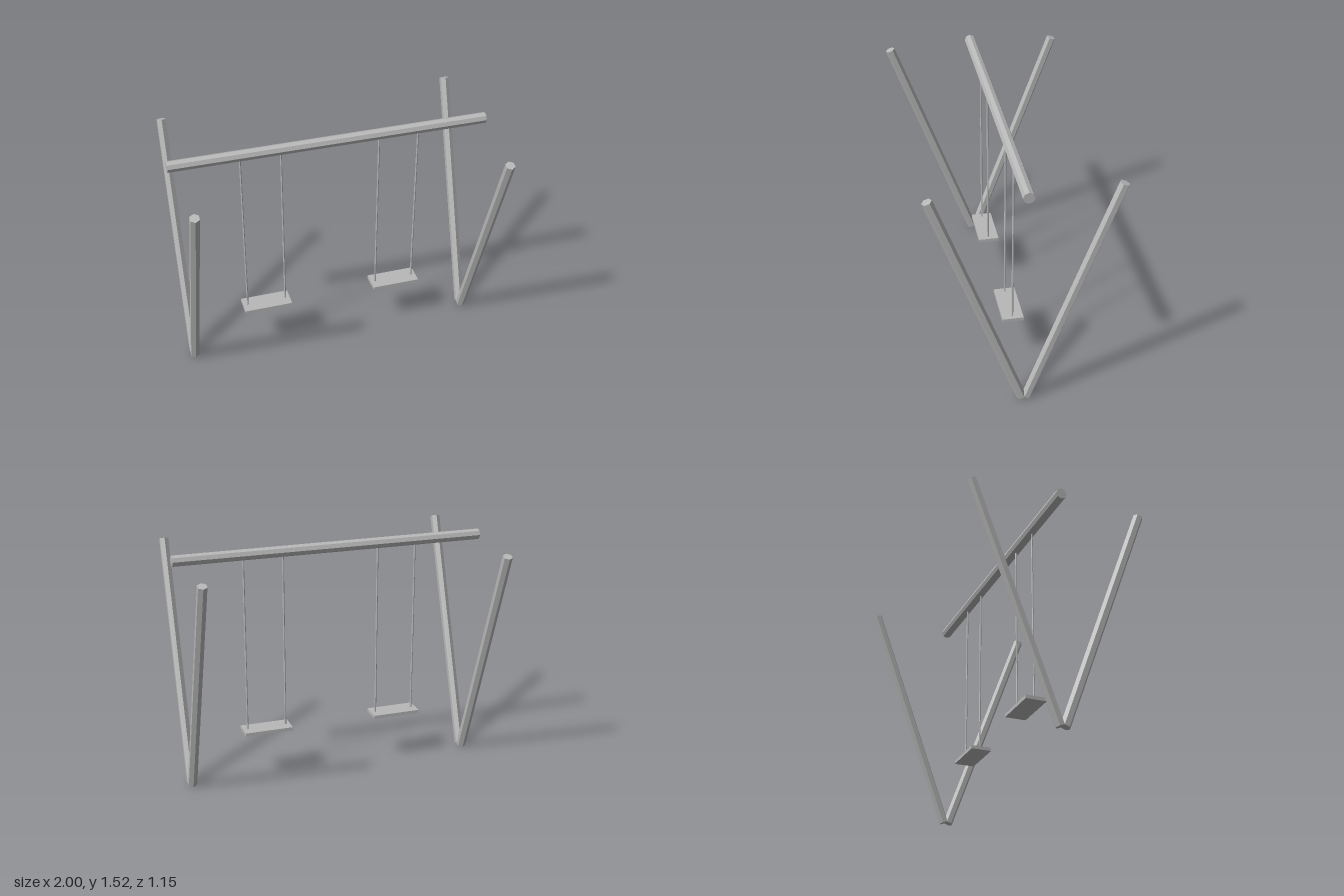
import * as THREE from 'three';

export function createModel() {
  const model = new THREE.Group();
  model.name = 'swingSet';
  const grey = new THREE.MeshStandardMaterial({ color: 0xb8b8b8 });
  grey.name = 'grey';

  const add = (parent, name, geometry, x, y, z) => {
    const flat = geometry.toNonIndexed();
    flat.computeVertexNormals(); // faceted shading
    const mesh = new THREE.Mesh(flat, grey);
    mesh.name = name;
    mesh.position.set(x, y, z);
    parent.add(mesh);
    return mesh;
  };

  // Top beam: octagonal bar along x
  const beamY = 1.485;
  const beam = add(model, 'topBeam', new THREE.CylinderGeometry(0.035, 0.035, 2, 8), 0, beamY, 0);
  beam.rotation.z = Math.PI / 2;

  // Legs: hexagonal posts spreading upward from the foot at each end
  const tilt = THREE.MathUtils.degToRad(19.9);
  for (const side of [-1, 1]) {
    for (const dir of [-1, 1]) {
      const name = (side > 0 ? 'left' : 'right') + (dir > 0 ? 'Front' : 'Back') + 'Leg';
      const leg = add(model, name, new THREE.CylinderGeometry(0.031, 0.031, 1.567, 6),
        side * 0.938, 0.747, dir * 0.281);
      leg.rotation.x = dir * tilt;
    }
  }

  // Swings: flat seat hung on two thin rods
  const seatTop = 0.333;
  for (const side of [-1, 1]) {
    const swing = new THREE.Group();
    swing.name = side > 0 ? 'leftSwing' : 'rightSwing';
    swing.position.x = side * 0.436;
    add(swing, 'seat', new THREE.BoxGeometry(0.312, 0.022, 0.134), 0, seatTop - 0.011, 0);
    const length = beamY - seatTop + 0.01;
    for (const s of [-1, 1]) {
      add(swing, 'rope', new THREE.CylinderGeometry(0.006, 0.006, length, 6),
        s * 0.126, beamY - length / 2, 0);
    }
    model.add(swing);
  }
  return model;
}
